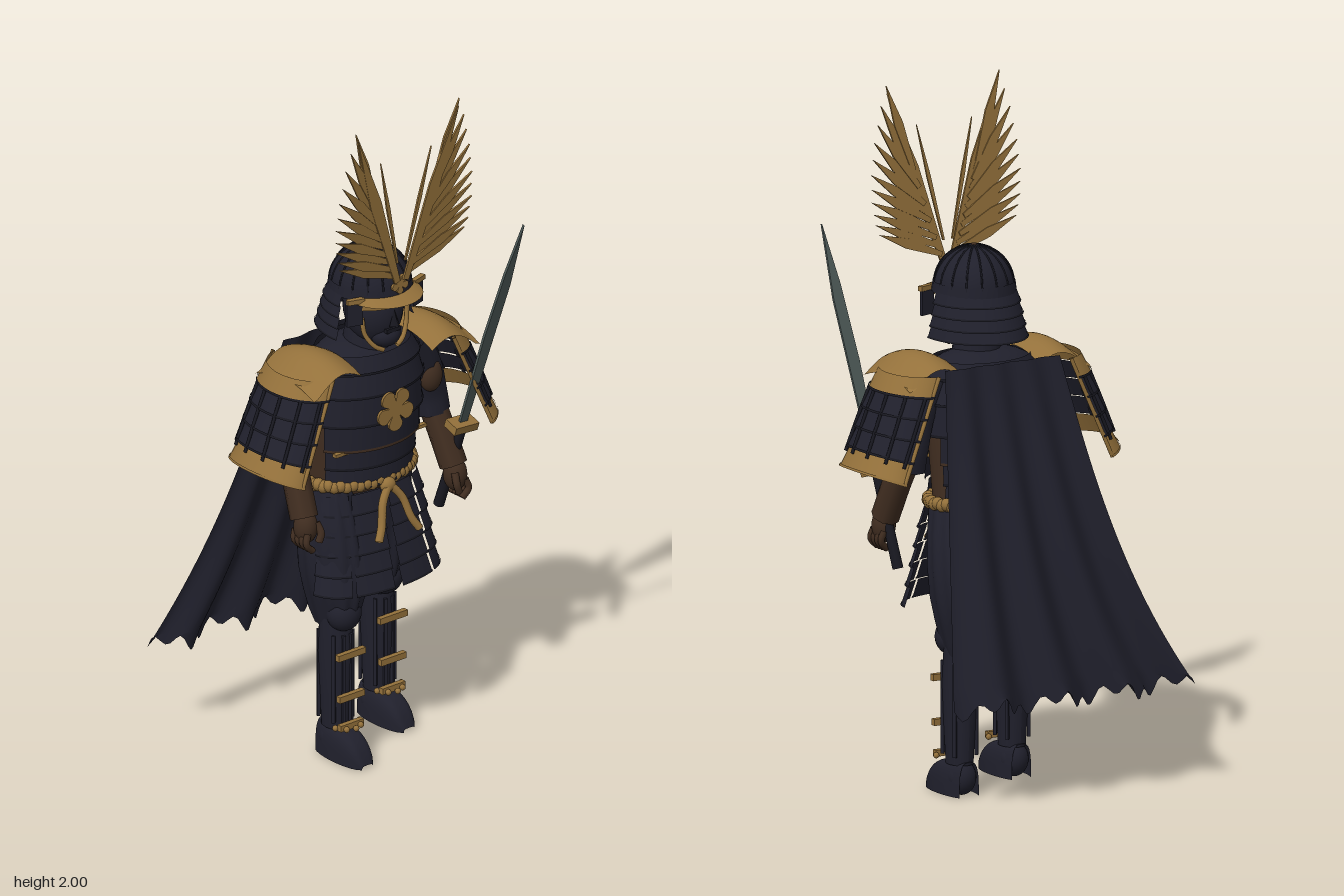
import * as THREE from 'three';

const mat = (name, color) => {
  const m = new THREE.MeshStandardMaterial({ color, side: THREE.DoubleSide });
  m.name = name;
  return m;
};

export function createModel() {
  const navy = mat('navy lacquer', 0x20202c), gold = mat('old gold', 0x94713b);
  const brown = mat('brown leather', 0x402d20), steel = mat('dark steel', 0x4c5856);
  const black = mat('black lacing', 0x181820);
  const model = new THREE.Group();
  model.name = 'armouredWarrior';
  const body = new THREE.Group();
  body.name = 'body';
  body.position.x = 0.03;
  model.add(body);

  const add = (name, geo, m, p = [0, 0, 0], s = [1, 1, 1], parent = body) => {
    const mesh = new THREE.Mesh(geo, m);
    mesh.name = name;
    mesh.position.set(...p);
    mesh.scale.set(...s);
    parent.add(mesh);
    return mesh;
  };
  // surface from a rule f(u, v) -> [x, y, z]
  const grid = (f, nu, nv) => {
    const pos = [], idx = [], w = nu + 1;
    for (let j = 0; j <= nv; j++) for (let i = 0; i <= nu; i++) pos.push(...f(i / nu, j / nv));
    for (let j = 0; j < nv; j++) for (let i = 0; i < nu; i++) {
      const a = j * w + i;
      idx.push(a, a + w, a + 1, a + 1, a + w, a + w + 1);
    }
    const g = new THREE.BufferGeometry();
    g.setAttribute('position', new THREE.Float32BufferAttribute(pos, 3));
    g.setIndex(idx);
    g.computeVertexNormals();
    return g;
  };
  // elliptical rings [y, rx, rz, cx, cz]; angle 0 faces the front
  const loft = (rings, n = 24, a0 = -Math.PI, a1 = Math.PI, fold = 0) => grid((u, v) => {
    const [y, rx, rz, cx, cz] = rings[Math.round(v * (rings.length - 1))];
    const a = a0 + (a1 - a0) * u, k = 1 + fold * Math.cos(a * 12);
    return [cx + rx * k * Math.sin(a), y, cz + rz * k * Math.cos(a)];
  }, n, rings.length - 1);
  const vec = (p) => new THREE.Vector3(...p);
  const tube = (pts, r, n = 20) => new THREE.TubeGeometry(new THREE.CatmullRomCurve3(pts.map(vec)), n, r, 8);
  const plate = (pts, depth) => new THREE.ExtrudeGeometry(
    new THREE.Shape(pts.map(([x, y]) => new THREE.Vector2(x, y))), { depth, bevelEnabled: false });
  const flower = (r) => plate(Array.from({ length: 60 }, (_, i) => {
    const a = i * Math.PI / 30, k = r * (0.35 + 0.65 * Math.pow(Math.abs(Math.sin(a * 2.5 - Math.PI / 4)), 0.35));
    return [k * Math.cos(a), k * Math.sin(a)];
  }), 0.008);
  const ball = new THREE.SphereGeometry(1, 24, 16);

  // torso: leather core with overlapping lacquer rows front and back
  add('torsoCore', loft([[1.23, 0.14, 0.1, 0, 0.03], [1.12, 0.17, 0.12, 0, 0.03], [0.95, 0.165, 0.11, 0, 0.02], [0.8, 0.165, 0.1, 0, 0]]), brown);
  add('yoke', ball, navy, [0, 1.2, 0.03], [0.17, 0.065, 0.115]);
  const edges = [1.24, 1.19, 1.12, 1.03, 0.95, 0.89, 0.83];
  const widths = [0.155, 0.175, 0.19, 0.19, 0.182, 0.173, 0.172];
  for (let i = 0; i < 6; i++) for (const back of [0, Math.PI]) {
    const half = i < 3 ? 1.57 : 1.2, cz = 0.03 - i * 0.004;
    const row = (y, w) => [y, w, w * 0.73, 0, cz];
    add('chestRow', loft([row(edges[i], widths[i] - 0.004), row(edges[i + 1], widths[i + 1] + 0.004)], 28, back - half, back + half), navy);
    add('rowLacing', loft([row(edges[i + 1] + 0.008, widths[i + 1] + 0.006), row(edges[i + 1], widths[i + 1] + 0.006)], 28, back - half, back + half), i === 3 ? brown : black);
  }
  add('chestFlower', flower(0.066), gold, [0, 1.07, 0.168]);
  for (const s of [-1, 1]) {
    add('chestStrap', new THREE.BoxGeometry(0.03, 0.012, 0.02), gold, [s * 0.16, 1.235, 0.1]);
    add('chestFitting', new THREE.BoxGeometry(0.045, 0.01, 0.015), gold, [s * 0.145, 0.95, 0.105]);
  }

  // rope belt with hanging cords
  for (let i = 0; i < 54; i++) {
    const a = i * Math.PI / 27;
    add('beltBead', new THREE.SphereGeometry(0.019, 8, 6), gold, [0.177 * Math.sin(a), 0.835 + 0.004 * (i % 2), 0.002 + 0.122 * Math.cos(a)]);
  }
  add('beltKnot', ball, gold, [0, 0.825, 0.14], [0.025, 0.022, 0.02]);
  for (const s of [-1, 1])
    add('beltCord', tube([[0, 0.83, 0.145], [s * 0.035, 0.785, 0.16], [s * 0.055, 0.72, 0.178], [s * 0.075, 0.685, 0.19]], 0.012), gold);

  // hanging skirt panels, five rows each, squarer than the waist
  const skirt = (a, t, o) => [(0.175 + 0.045 * t + o) * Math.sin(a), 0.81 - 0.285 * t, (0.12 + 0.065 * t + o) * Math.sqrt(Math.max(0, Math.cos(a)))];
  for (const s of [-1, 1]) for (const [a0, a1] of [[0.06, 0.66], [0.72, 1.4]]) for (let i = 0; i < 5; i++) {
    const panel = (t0, t1, o0, o1) => grid((u, v) => skirt(s * (a0 + (a1 - a0) * u), t0 + (t1 - t0) * v, o0 + (o1 - o0) * v), 10, 1);
    add('skirtRow', panel(i / 5, (i + 1) / 5, 0, 0.006), navy);
    add('skirtLacing', panel((i + 0.9) / 5, (i + 1) / 5, 0.007, 0.008), black);
  }

  // legs, the right one a step ahead
  for (const s of [-1, 1]) {
    const x = s * 0.125, z = s < 0 ? 0.06 : -0.055;
    const leg = (y, rx, rz, t) => [y, rx, rz, x, z * t];
    const thigh = (y, rx, rz, t) => [y, rx, rz, s * 0.118, (s < 0 ? 0.042 : -0.07) * t];
    add('trouserLeg', loft([thigh(0.82, 0.055, 0.09, 0.1), thigh(0.75, 0.078, 0.1, 0.5), thigh(0.66, 0.09, 0.11, 0.8), thigh(0.57, 0.088, 0.114, 1),
      thigh(0.5, 0.072, 0.106, 1), thigh(0.44, 0.057, 0.09, 1), thigh(0.4, 0.045, 0.065, 1)], 72, -Math.PI, Math.PI, 0.03), navy);
    add('kneeGuard', ball, navy, [x, 0.45, z + 0.035], [0.052, 0.055, 0.05]);
    add('shin', loft([leg(0.43, 0.044, 0.048, 1), leg(0.32, 0.047, 0.056, 1), leg(0.2, 0.042, 0.052, 1), leg(0.09, 0.037, 0.045, 1)]), navy);
    for (const a of [-0.9, -0.3, 0.3, 0.9, 2.2, 4.1])
      add('shinRib', new THREE.BoxGeometry(0.01, 0.27, 0.01), navy, [x + 0.045 * Math.sin(a), 0.25, z + 0.054 * Math.cos(a)]).rotation.y = a;
    for (const [y, w] of [[0.33, 0.1], [0.2, 0.092], [0.11, 0.084]])
      add('shinStrap', new THREE.BoxGeometry(w, 0.019, 0.016), gold, [x, y, z + 0.066]);
    for (let i = -2; i <= 2; i++)
      add('ankleStud', new THREE.SphereGeometry(0.009, 8, 6), gold, [x + 0.05 * Math.sin(i * 0.55), 0.107, z + 0.02 + 0.07 * Math.cos(i * 0.55)]);
    // boot swept from heel to toe
    add('boot', grid((u, v) => {
      const h = 0.1 * Math.pow(Math.max(0, 1 - Math.pow(v, 4) * 0.96), 0.7);
      const w = 0.046 * Math.pow(Math.sin(Math.PI * (0.1 + 0.88 * v)), 0.3), a = Math.PI * u;
      return [x + w * Math.sign(Math.cos(a)) * Math.pow(Math.abs(Math.cos(a)), 0.6), h * Math.pow(Math.max(0, Math.sin(a)), 0.6), z - 0.05 + 0.19 * v];
    }, 20, 14), navy);
    add('bootHeel', ball, navy, [x, 0.05, z - 0.01], [0.042, 0.05, 0.042]);
  }

  for (const s of [-1, 1]) {
    // arms and hands
    add('upperArm', tube([[s * 0.17, 1.19, 0.03], [s * 0.22, 1.1, 0.025], [s * 0.25, 1, 0.015], [s * 0.258, 0.94, 0.02]], 0.056), navy);
    add('armPatch', ball, brown, [s * 0.225, 1.07, 0.06], [0.036, 0.05, 0.03]);
    add('forearm', tube([[s * 0.255, 0.98, 0.015], [s * 0.265, 0.9, 0.052], [s * 0.275, 0.79, 0.1]], 0.041), brown);
    add('palm', ball, brown, [s * 0.275, 0.765, 0.107], [0.034, 0.05, 0.036]);
    for (let f = 0; f < 4; f++)
      add('finger', tube([[s * 0.29, 0.755, 0.08 + f * 0.018], [s * 0.298, 0.725, 0.085 + f * 0.018], [s * 0.275, 0.7, 0.09 + f * 0.016]], 0.01, 8), brown);
    add('thumb', tube([[s * 0.255, 0.78, 0.13], [s * 0.25, 0.75, 0.145], [s * 0.258, 0.725, 0.145]], 0.011, 8), brown);

    // gold plate on top of the shoulder
    add('shoulderCap', grid((u, v) => [s * (0.13 + 0.175 * u), 1.245 + 0.03 * Math.sin(Math.PI * Math.min(1, u * 1.1)) - 0.03 * u * u - 0.03 * Math.pow(2 * v - 1, 2), 0.052 + 0.128 * (2 * v - 1)], 12, 12), gold);

    // curved shoulder guard of five rows
    const guard = (a, T, o) => [s * (0.21 + 0.13 * T + (0.1 - 0.025 * T + o) * Math.cos(a)), 1.225 - 0.27 * T - 0.03 * T * (1 - Math.cos(a)), 0.033 + (0.128 + 0.018 * T + o) * Math.sin(a)];
    for (let r = 0; r < 5; r++) {
      add('shoulderRow', grid((u, v) => guard(-1.5 + 3 * u, (r + v) / 5, 0.008 * v), 20, 2), r === 0 || r === 4 ? gold : navy);
      add('shoulderRowEdge', grid((u, v) => guard(-1.5 + 3 * u, (r + 0.88 + 0.12 * v) / 5, 0.011), 20, 1), r === 4 ? gold : black);
    }
    for (const a of [-1.25, -0.75, -0.25, 0.25, 0.75, 1.25])
      add('shoulderRib', tube([guard(a, 0.2, 0.006), guard(a, 0.5, 0.008), guard(a, 0.85, 0.008)], 0.005, 6), black);
    for (const a of [-1.46, 1.46])
      add('shoulderBorder', tube([guard(a, 0, 0.004), guard(a, 0.5, 0.004), guard(a, 1, 0.004)], 0.006, 6), gold);
  }

  // head and face mask
  add('neck', new THREE.CylinderGeometry(0.06, 0.075, 0.12, 20), navy, [0, 1.27, 0.05]);
  add('faceMask', ball, navy, [0, 1.36, 0.075], [0.082, 0.11, 0.092]);
  add('nose', new THREE.ConeGeometry(0.018, 0.05, 4), black, [0, 1.355, 0.168]);
  add('chin', ball, navy, [0, 1.29, 0.13], [0.045, 0.035, 0.04]);
  add('mouth', new THREE.BoxGeometry(0.05, 0.012, 0.02), black, [0, 1.315, 0.157]);
  for (const s of [-1, 1])
    add('cheekTrim', tube([[s * 0.083, 1.36, 0.125], [s * 0.076, 1.31, 0.13], [s * 0.05, 1.27, 0.145], [s * 0.025, 1.255, 0.15]], 0.007), gold);

  // helmet bowl with ribs, brim and neck guard
  const bowl = new THREE.Group();
  bowl.name = 'helmetBowl';
  bowl.position.set(0, 1.43, 0.063);
  bowl.scale.x = 0.95;
  body.add(bowl);
  add('bowlShell', new THREE.SphereGeometry(0.12, 32, 14, 0, 2 * Math.PI, 0, Math.PI / 2), navy, [0, 0, 0], [1, 1, 1], bowl);
  for (let i = 0; i < 16; i++)
    add('bowlRib', new THREE.TorusGeometry(0.12, 0.003, 6, 14, Math.PI / 2), black, [0, 0, 0], [1, 1, 1], bowl).rotation.y = i * Math.PI / 8;
  add('bowlKnob', ball, brown, [0, 0.12, 0], [0.01, 0.006, 0.01], bowl);
  add('bowlBand', loft([[0.02, 0.121, 0.121, 0, 0], [-0.01, 0.125, 0.125, 0, 0]], 32), navy, [0, 0, 0], [1, 1, 1], bowl);
  add('visor', grid((u, v) => {
    const a = -1 + 2 * u, k = 0.122 + v * 0.047 * Math.cos(a * 1.3);
    return [k * Math.sin(a), 1.432 - 0.016 * v, 0.063 + k * Math.cos(a)];
  }, 24, 3), gold);
  add('browBand', loft([[1.428, 0.13, 0.126, 0, 0.063], [1.395, 0.13, 0.122, 0, 0.063]], 24, -0.85, 0.85), gold);
  for (let i = 0; i < 4; i++) {
    const ring = (t, o) => [1.425 - 0.13 * t, 0.118 + 0.02 * t + o, 0.122 + 0.047 * t + o, 0, 0.063];
    add('neckGuardRow', loft([ring(i / 4, 0), ring((i + 1) / 4, 0.005)], 28, 1.45, 2 * Math.PI - 1.45), navy);
    add('neckGuardEdge', loft([ring((i + 0.85) / 4, 0.006), ring((i + 1) / 4, 0.007)], 28, 1.45, 2 * Math.PI - 1.45), black);
  }
  for (const s of [-1, 1]) {
    add('helmetWing', new THREE.BoxGeometry(0.05, 0.07, 0.01), navy, [s * 0.115, 1.385, 0.13]).rotation.y = s * 0.3;
    add('helmetWingTrim', new THREE.BoxGeometry(0.052, 0.014, 0.016), gold, [s * 0.115, 1.427, 0.135]).rotation.y = s * 0.3;
  }
  add('helmetFlower', flower(0.03), gold, [0, 1.468, 0.188]);

  // feathered crest: each fan has a shaft and a row of outward barbs
  const crest = new THREE.Group();
  crest.name = 'crest';
  crest.position.set(0, 1.48, 0.192);
  crest.rotation.x = 0.06;
  body.add(crest);
  const barb = (name, x0, y0, x1, y1, w, z = 0) => {
    const l = Math.hypot(x1 - x0, y1 - y0), nx = -(y1 - y0) / l * w, ny = (x1 - x0) / l * w;
    const at = (t, k) => [x0 + (x1 - x0) * t + nx * k, y0 + (y1 - y0) * t + ny * k];
    add(name, plate([at(0, -0.5), at(0.55, -1), at(1, 0), at(0.55, 1), at(0, 0.5)], 0.006), gold, [0, 0, z], [1, 1, 1], crest);
  };
  for (const s of [-1, 1]) {
    barb('crestShaft', s * 0.015, 0, s * 0.185, 0.5, 0.02, 0.004);
    barb('crestSpike', s * 0.015, 0.06, s * 0.093, 0.4, 0.006);
    for (let i = 0; i < 11; i++) {
      const t = i / 10, q = 1 - t;
      const x1 = q * q * 0.23 + 2 * q * t * 0.285 + t * t * 0.19, y1 = q * q * 0.1 + 2 * q * t * 0.235 + t * t * 0.522;
      barb('crestFeather', s * (0.022 + 0.085 * t), 0.02 + 0.25 * t, s * x1, y1, 0.0145, (i % 2) * 0.003);
    }
  }

  // sword raised in the left hand
  const sword = new THREE.Group();
  sword.name = 'sword';
  const low = vec([0.297, 0.65, 0.045]), tip = vec([0.368, 1.6, 0.333]), len = low.distanceTo(tip);
  sword.position.copy(low);
  sword.quaternion.setFromUnitVectors(vec([0, 1, 0]), tip.clone().sub(low).normalize());
  model.add(sword);
  add('handle', new THREE.CylinderGeometry(0.014, 0.016, 0.28, 10), black, [0, 0.14, 0], [1, 1, 1], sword);
  add('swordGuard', new THREE.BoxGeometry(0.085, 0.025, 0.05), gold, [-0.005, 0.285, 0], [1, 1, 1], sword);
  add('blade', plate([[-0.017, 0.28], [0.01, 0.28], [0.013, 0.55], [0.016, 0.78], [0, len], [-0.017, 0.82], [-0.024, 0.6]], 0.008), steel, [0, 0, -0.004], [1, 1, 1], sword);

  // wind-blown cape with deep folds and a torn hem
  add('cape', grid((u, v) => {
    const xl = -0.15 - 0.16 * v - 0.145 * v ** 3, xr = 0.23 + 0.07 * v;
    const hem = v > 0.99 ? 0.035 * Math.sin(u * 47) * Math.cos(u * 23) : 0;
    return [xl + (xr - xl) * u, 1.24 - 0.945 * v + hem,
      -0.1 - 0.21 * v - (0.004 + 0.022 * v) * Math.cos(2 * Math.PI * 3.55 * u) + 0.035 * v * u ** 8];
  }, 64, 28), navy, [0, 0, 0], [1, 1, 1], model);
  return model;
}
